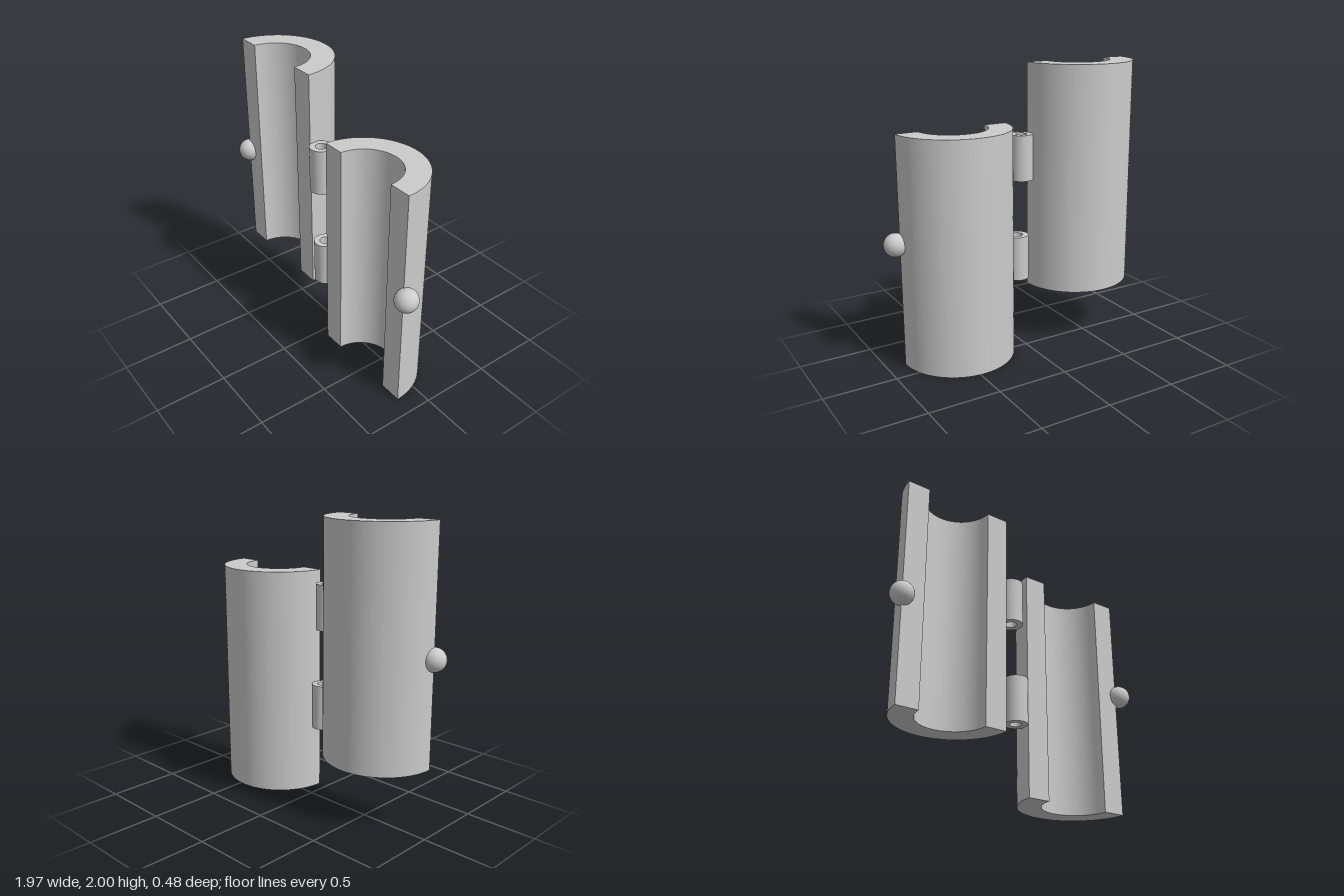
import * as THREE from 'three';

const material = new THREE.MeshStandardMaterial({ color: 0xcccccc });

// Extrudes a plan outline upwards; the outline's +y points to the back (-z)
function extrudeUp(shape, height, curveSegments) {
  const geometry = new THREE.ExtrudeGeometry(shape, { depth: height, bevelEnabled: false, curveSegments });
  return geometry.rotateX(-Math.PI / 2);
}

function addPart(parent, name, geometry, x, y, z) {
  const mesh = new THREE.Mesh(geometry, material);
  mesh.name = name;
  mesh.position.set(x, y, z);
  parent.add(mesh);
}

// Half of a thick tube, open to the front
function halfTube(outer, inner, height) {
  const shape = new THREE.Shape();
  shape.absarc(0, 0, outer, 0, Math.PI, false);
  shape.absarc(0, 0, inner, Math.PI, 0, true);
  shape.closePath();
  return extrudeUp(shape, height, 32);
}

// Short hinge barrel with a pin hole
function knuckle(outer, inner, height) {
  const shape = new THREE.Shape();
  shape.absarc(0, 0, outer, 0, Math.PI * 2, false);
  const hole = new THREE.Path();
  hole.absarc(0, 0, inner, 0, Math.PI * 2, true);
  shape.holes.push(hole);
  return extrudeUp(shape, height, 32);
}

export function createModel() {
  const model = new THREE.Group();
  model.name = 'hingedHalfTubes';

  const halves = [
    { side: 'right', shellX: -0.505, shellY: 0.4, knuckleX: -0.036, knuckleY: 1.2, ballX: -0.905, ballY: 1.14 },
    { side: 'left', shellX: 0.47, shellY: 0, knuckleX: 0, knuckleY: 0.48, ballX: 0.9, ballY: 0.87 },
  ];

  for (const h of halves) {
    const half = new THREE.Group();
    half.name = h.side + 'Half';
    addPart(half, h.side + 'Shell', halfTube(0.4, 0.24, 1.6), h.shellX, h.shellY, 0.16);
    addPart(half, h.side + 'HingeKnuckle', knuckle(0.08, 0.04, 0.32), h.knuckleX, h.knuckleY, 0.12);
    // Closing ball on the outer edge
    addPart(half, h.side + 'ClaspBall', new THREE.SphereGeometry(0.08, 32, 20), h.ballX, h.ballY, 0.16);
    model.add(half);
  }
  return model;
}
